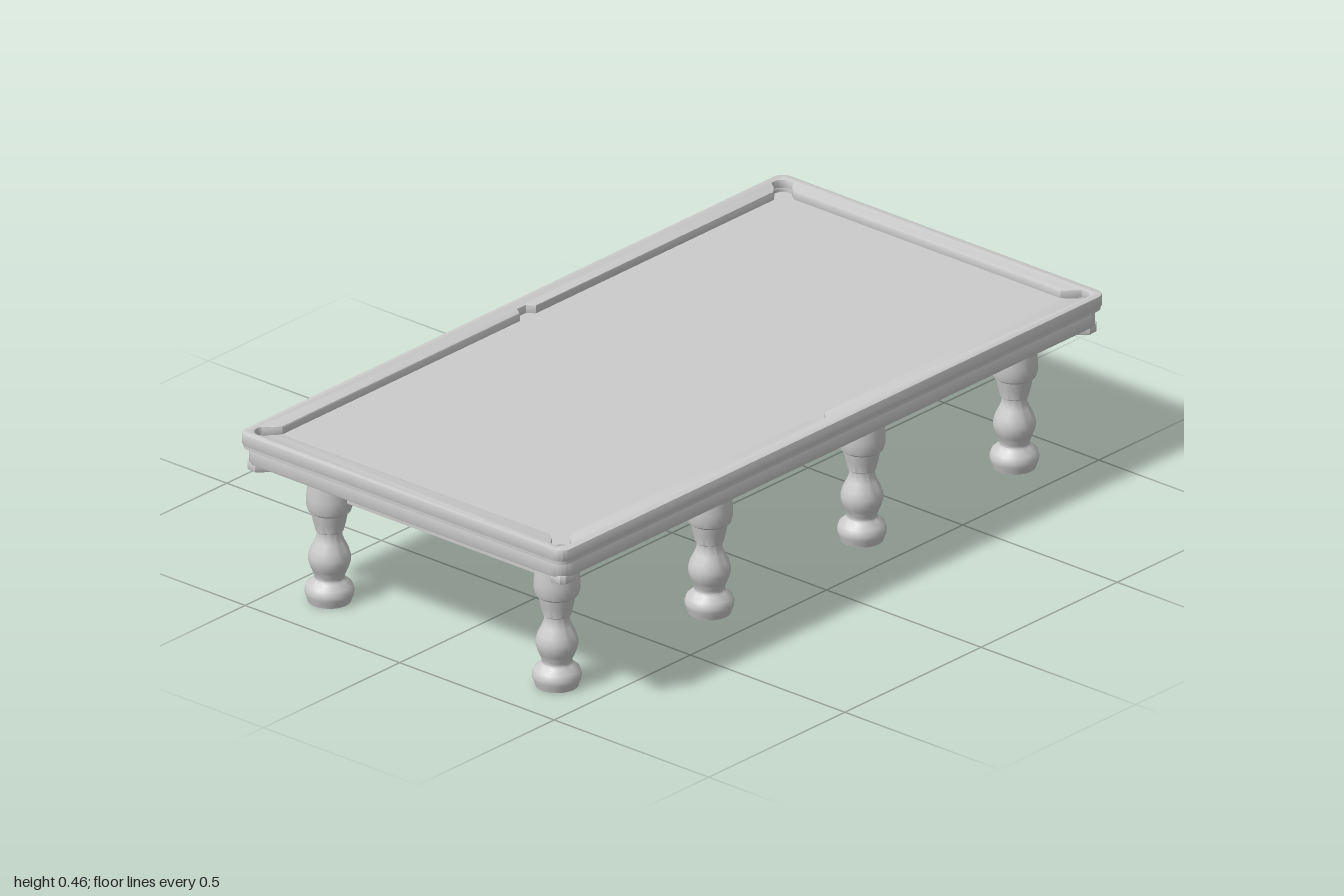
import * as THREE from 'three';
import { toCreasedNormals } from 'three/addons/utils/BufferGeometryUtils.js';

const material = new THREE.MeshStandardMaterial({ color: 0xcccccc });
const HX = 0.937, HZ = 0.466;           // half size of the playing area
const POCKET = 0.027;                   // corner pocket radius

function mesh(name, geometry) {
  const m = new THREE.Mesh(toCreasedNormals(geometry, 0.6), material);
  m.name = name;
  return m;
}

// Rectangle outline with rounded corners
function roundedRect(hx, hz, r) {
  const s = new THREE.Shape();
  s.absarc(hx - r, hz - r, r, 0, Math.PI / 2);
  s.absarc(-hx + r, hz - r, r, Math.PI / 2, Math.PI);
  s.absarc(-hx + r, -hz + r, r, Math.PI, Math.PI * 1.5);
  s.absarc(hx - r, -hz + r, r, Math.PI * 1.5, Math.PI * 2);
  s.closePath();
  return s;
}

// Horizontal slab between two heights, with softened edges
function slab(name, shape, y0, y1, bevel = 0) {
  const g = new THREE.ExtrudeGeometry(shape, {
    depth: y1 - y0 - 2 * bevel, bevelEnabled: bevel > 0, bevelThickness: bevel,
    bevelSize: bevel, bevelOffset: -bevel, bevelSegments: 2, curveSegments: 8,
  });
  g.rotateX(-Math.PI / 2);
  g.translate(0, y0 + bevel, 0);
  return mesh(name, g);
}

// Opening inside the cushions, notched at the six pockets
function cushionOpening() {
  const quarter = [
    [HX, HZ - 0.035], [HX + 0.015, HZ - 0.015],
  ];
  for (let i = 0; i <= 10; i++) {
    const a = -Math.PI / 4 + 0.35 + (Math.PI - 0.7) * i / 10;
    quarter.push([HX + 0.012 + POCKET * Math.cos(a), HZ + 0.012 + POCKET * Math.sin(a)]);
  }
  quarter.push([HX - 0.015, HZ + 0.015], [HX - 0.035, HZ],
    [0.03, HZ], [0.02, HZ + 0.012], [0.016, HZ + 0.02]);
  const mirrored = (sx, sz) => quarter.map(([x, z]) => new THREE.Vector2(x * sx, z * sz));
  return new THREE.Path([
    ...mirrored(1, 1), ...mirrored(-1, 1).reverse(),
    ...mirrored(-1, -1), ...mirrored(1, -1).reverse(),
  ]);
}

// Turned leg profile: radius, height
const LEG = [
  [0, 0], [0.053, 0], [0.055, 0.008], [0.06, 0.02], [0.061, 0.03], [0.056, 0.045], [0.042, 0.057],
  [0.038, 0.063], [0.038, 0.07], [0.042, 0.08], [0.045, 0.088], [0.047, 0.092], [0.052, 0.108],
  [0.052, 0.122], [0.047, 0.14], [0.037, 0.16], [0.032, 0.173], [0.031, 0.187], [0.035, 0.19],
  [0.041, 0.215], [0.045, 0.238], [0.053, 0.244], [0.057, 0.258], [0.057, 0.28], [0.055, 0.305],
  [0.053, 0.33], [0.053, 0.38], [0, 0.38],
].map(([r, y]) => new THREE.Vector2(r, y));

export function createModel() {
  const table = new THREE.Group();
  table.name = 'billiardTable';

  // Cushion rail
  const rail = roundedRect(1, 0.527, 0.03);
  rail.holes.push(cushionOpening());
  table.add(slab('rail', rail, 0.424, 0.456, 0.004));

  // Bed with the corner pocket recesses
  const bed = roundedRect(0.992, 0.519, 0.03);
  for (const sx of [-1, 1]) for (const sz of [-1, 1]) {
    const hole = new THREE.Path();
    hole.absarc(sx * (HX + 0.012), sz * (HZ + 0.012), POCKET * 0.9, 0, Math.PI * 2);
    bed.holes.push(hole);
  }
  table.add(slab('bed', bed, 0.412, 0.434));

  // Side apron and the lip beneath the rail
  table.add(slab('railLip', roundedRect(0.997, 0.524, 0.03), 0.416, 0.4245));
  table.add(slab('apron', roundedRect(0.99, 0.519, 0.04), 0.374, 0.417, 0.005));

  // Understructure between the legs
  const frame = mesh('underframe', new THREE.BoxGeometry(1.68, 0.102, 0.736));
  frame.position.y = 0.326;
  table.add(frame);

  // Diagonal corner brackets
  for (const sx of [-1, 1]) for (const sz of [-1, 1]) {
    const s = new THREE.Shape([
      [0.86, 0.35], [0.988, 0.478], [0.985, 0.505], [0.975, 0.515], [0.948, 0.517], [0.82, 0.39],
    ].map(([x, z]) => new THREE.Vector2(x * sx, z * sz)));
    table.add(slab('cornerBracket', s, 0.357, 0.38, 0.003));
  }

  // Eight turned legs
  const legGeometry = new THREE.LatheGeometry(LEG, 32);
  for (const x of [-0.84, -0.28, 0.28, 0.84]) for (const z of [-0.368, 0.368]) {
    const leg = mesh('leg', legGeometry);
    leg.position.set(x, 0, z);
    table.add(leg);
  }
  return table;
}
